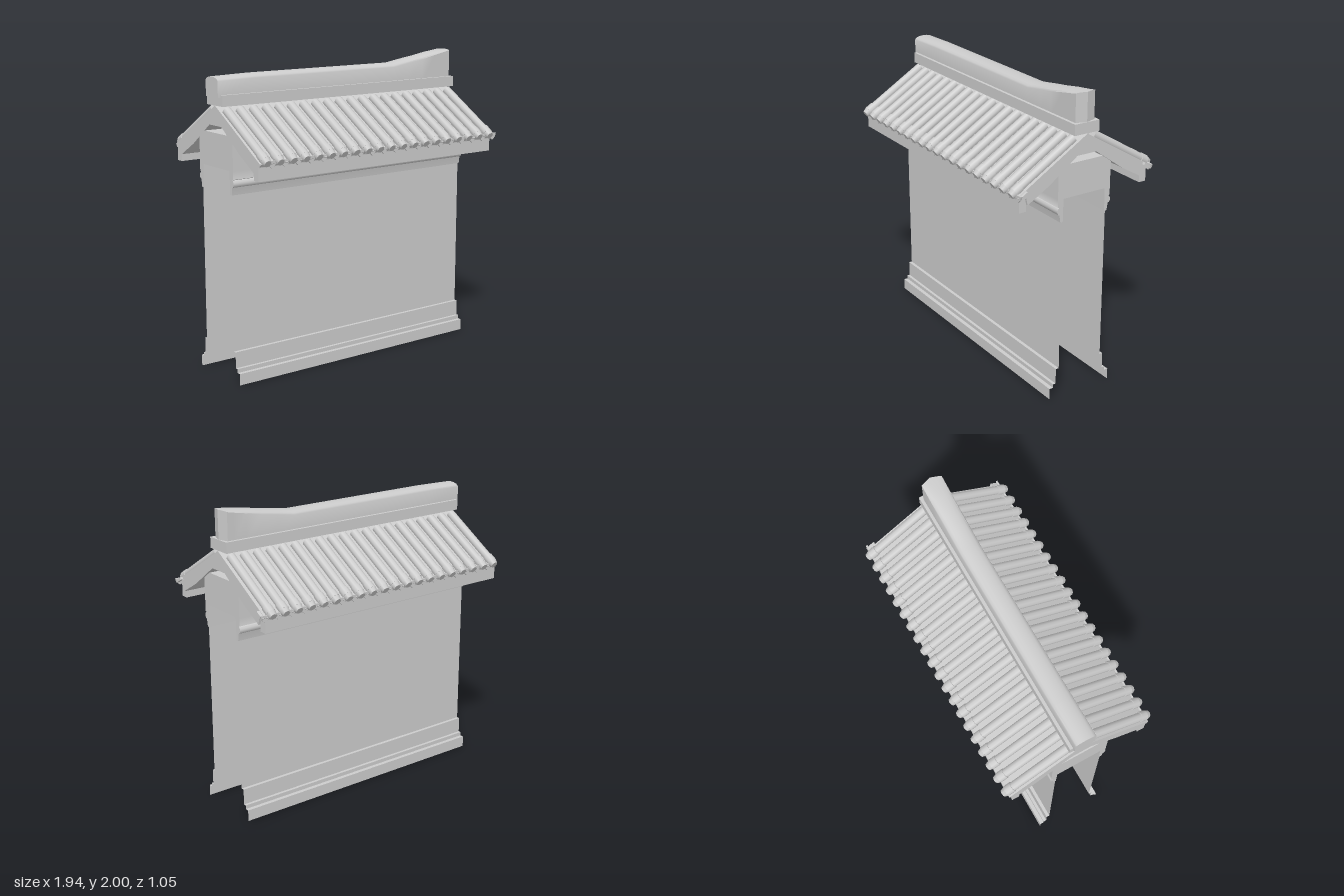
import * as THREE from 'three';
import { toCreasedNormals } from 'three/addons/utils/BufferGeometryUtils.js';

const X0 = -0.95, X1 = 0.93;
const material = new THREE.MeshStandardMaterial({ color: 0xcccccc, side: THREE.DoubleSide });

function add(parent, name, geometry) {
  const mesh = new THREE.Mesh(geometry, material);
  mesh.name = name;
  parent.add(mesh);
  return mesh;
}

function box(parent, name, x0, x1, y0, y1, z0, z1) {
  const mesh = add(parent, name, new THREE.BoxGeometry(x1 - x0, y1 - y0, Math.abs(z1 - z0)));
  mesh.position.set((x0 + x1) / 2, (y0 + y1) / 2, (z0 + z1) / 2);
  return mesh;
}

// Solid [z, y] profile extruded along x
function prism(points, x0, x1) {
  const shape = new THREE.Shape(points.map(([z, y]) => new THREE.Vector2(-z, y)));
  const g = new THREE.ExtrudeGeometry(shape, { depth: x1 - x0, bevelEnabled: false });
  g.rotateY(Math.PI / 2).translate(x0, 0, 0);
  return toCreasedNormals(g, 0.7);
}

// Thin sheet following a [z, y] line from bottom to top, swept along x
function sheet(points, side) {
  const pos = [];
  for (let i = 0; i < points.length - 1; i++) {
    const [za, ya] = points[i], [zb, yb] = points[i + 1];
    const [l, r] = side > 0 ? [X0, X1] : [X1, X0];
    pos.push(l, ya, za * side, r, ya, za * side, r, yb, zb * side);
    pos.push(l, ya, za * side, r, yb, zb * side, l, yb, zb * side);
  }
  const g = new THREE.BufferGeometry();
  g.setAttribute('position', new THREE.Float32BufferAttribute(pos, 3));
  g.computeVertexNormals();
  return g;
}

// Ridge cap: rounded cross-sections joined along x, rising at one end
function ridgeCapGeometry() {
  // x, top height, rounding height, end bulge
  const stations = [
    [-0.97, 1.925, 0.025, 0], [-0.7, 1.932, 0.027, 0], [0.42, 1.932, 0.027, 0],
    [0.55, 1.953, 0.027, 0], [0.67, 1.97, 0.025, 0], [0.78, 1.988, 0.02, 0],
    [0.87, 1.997, 0.012, 0], [0.915, 2.0, 0.005, 0.022],
  ];
  const arc = 8, half = 0.07, pos = [], idx = [];
  const n = arc + 3;
  for (const [x, top, round, bulge] of stations) {
    const ring = [[half, 1.8]];
    for (let i = 0; i <= arc; i++) {
      const a = (Math.PI * i) / arc;
      ring.push([half * Math.cos(a), top - round + round * Math.sin(a)]);
    }
    ring.push([-half, 1.8]);
    for (const [z, y] of ring) pos.push(x + bulge * (1 - Math.abs(z) / half), y, z);
  }
  for (let s = 0; s < stations.length - 1; s++) {
    for (let i = 0; i < n; i++) {
      const j = (i + 1) % n, a = s * n + i, b = s * n + j, c = a + n, d = b + n;
      idx.push(a, d, c, a, b, d);
    }
  }
  // End faces
  const last = (stations.length - 1) * n;
  for (let i = 1; i < n - 1; i++) idx.push(0, i + 1, i);
  // The far end is split into strips so its bulge keeps a clean vertical fold
  const mid = pos.length / 3;
  pos.push(0.937, 1.8, 0);
  for (let i = 0; i < n - 1; i++) idx.push(mid, last + i, last + i + 1);
  const g = new THREE.BufferGeometry();
  g.setAttribute('position', new THREE.Float32BufferAttribute(pos, 3));
  g.setIndex(idx);
  return toCreasedNormals(g, 0.6);
}

export function createModel() {
  const model = new THREE.Group();
  model.name = 'roofedWall';

  // Tie beam running under the roof
  box(model, 'beam', X0, X1, 1.36, 1.575, -0.195, 0.195);

  // Roof slab with a clipped inner apex
  const right = [[0.49, 1.45], [0.485, 1.425], [0.435, 1.43], [0.425, 1.385], [0.27, 1.475], [0.07, 1.62]];
  const left = right.map(([z, y]) => [-z, y]).reverse();
  add(model, 'roofSlab', prism([[0, 1.745], ...right, ...left], X0, 0.945));

  // Ridge
  box(model, 'ridgeBase', X0, 0.94, 1.745, 1.815, -0.09, 0.09);
  add(model, 'ridgeCap', ridgeCapGeometry());

  const tileCount = 20, pitch = 0.095, firstTile = -0.908;
  const slope = Math.atan2(0.265, 0.44);
  const tileGeo = new THREE.CylinderGeometry(0.03, 0.028, 0.49, 10);
  const collarGeo = new THREE.CylinderGeometry(0.033, 0.033, 0.05, 10);
  const tipGeo = new THREE.CylinderGeometry(0.033, 0.024, 0.03, 8);
  const dripShape = new THREE.Shape([
    new THREE.Vector2(-0.032, 0.02), new THREE.Vector2(-0.024, -0.004), new THREE.Vector2(0, -0.025),
    new THREE.Vector2(0.024, -0.004), new THREE.Vector2(0.032, 0.02),
  ]);
  const dripGeo = new THREE.ExtrudeGeometry(dripShape, { depth: 0.012, bevelEnabled: false });

  for (const side of [1, -1]) {
    const label = side > 0 ? 'front' : 'back';

    // Wall sheet with stepped plinth
    add(model, label + 'Wall', sheet([
      [0.232, 0], [0.232, 0.075], [0.205, 0.075], [0.205, 0.1],
      [0.185, 0.1], [0.185, 0.205], [0.163, 0.205], [0.163, 1.21],
    ], side));

    // Cornice with a round bead
    const cornice = [[0.155, 1.36], [0.157, 1.21], [0.175, 1.21], [0.182, 1.255]];
    for (let i = 0; i <= 6; i++) {
      const a = -Math.PI / 2 + (Math.PI * i) / 6;
      cornice.push([0.183 + 0.017 * Math.cos(a), 1.282 + 0.023 * Math.sin(a)]);
    }
    cornice.push([0.195, 1.31], [0.195, 1.36]);
    add(model, label + 'Cornice', prism(cornice.map(([z, y]) => [z * side, y]), X0, X1));

    // Eave board and the sloped strip above it
    box(model, label + 'EaveBoard', X0, X1, 1.34, 1.45, 0.425 * side, 0.475 * side);
    const strip = add(model, label + 'EaveStrip', new THREE.BoxGeometry(1.915, 0.016, 0.065));
    strip.position.set(0.0075, 1.454, 0.463 * side);
    strip.rotation.x = slope * side;

    // Rows of round tiles, each with a collar and tapered tip, and drips between
    const rows = new THREE.Group();
    rows.name = label + 'Tiles';
    model.add(rows);
    for (let i = 0; i < tileCount; i++) {
      const x = firstTile + i * pitch;
      const tile = new THREE.Group();
      tile.name = 'tile';
      // Local -y runs down the slope
      tile.position.set(x, 1.449, 0.515 * side);
      tile.rotation.x = -side * (Math.PI / 2 - slope);
      add(tile, 'tileBarrel', tileGeo).position.y = 0.275;
      add(tile, 'tileCollar', collarGeo).position.y = 0.055;
      add(tile, 'tileTip', tipGeo).position.y = 0.015;
      rows.add(tile);

      const drip = add(rows, 'dripTile', dripGeo);
      drip.position.set(x + pitch / 2 - 0.004, 1.44, side * 0.487 - 0.006);
    }
  }
  return model;
}
